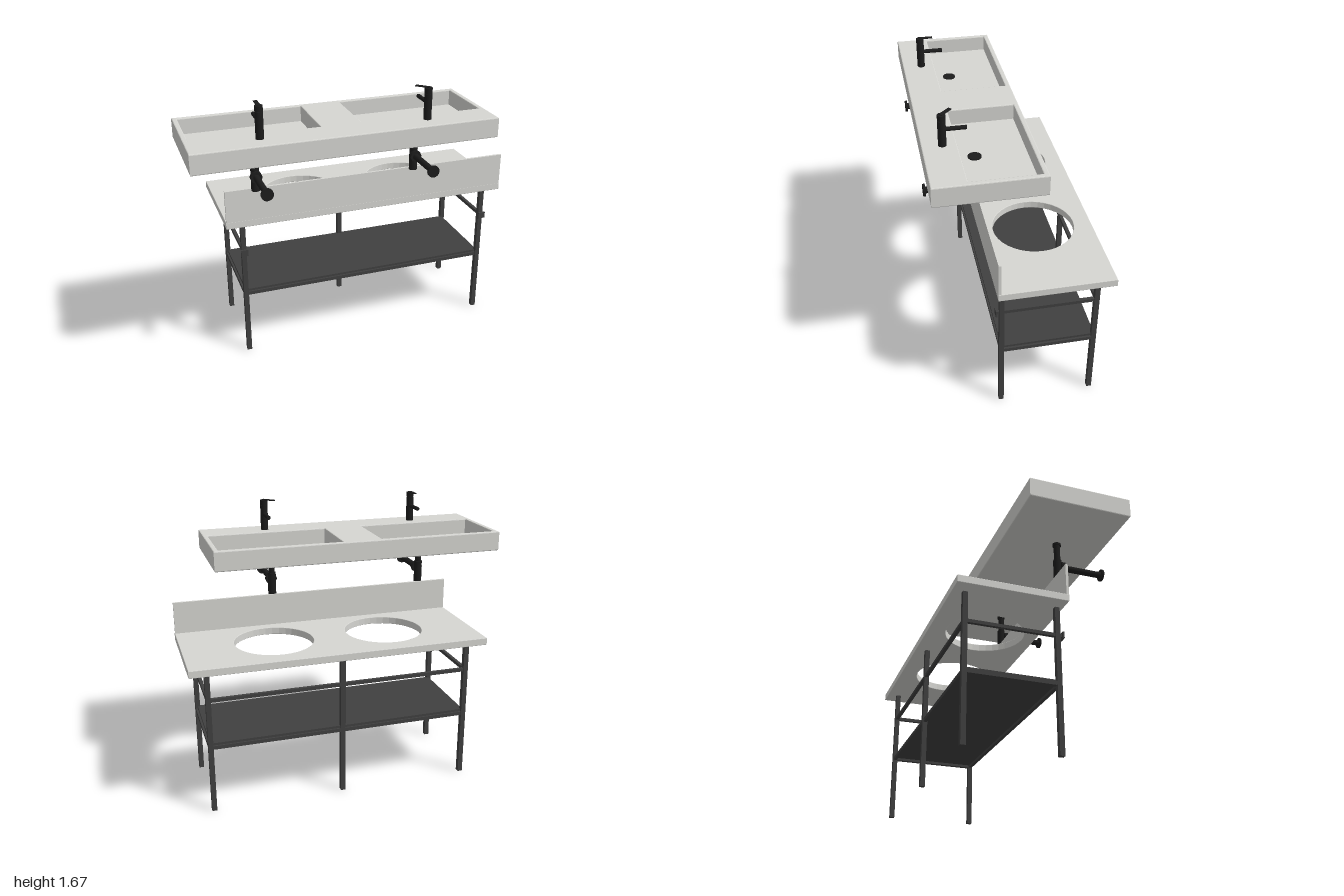
import * as THREE from 'three';

const mat = (name, color) => {
  const m = new THREE.MeshStandardMaterial({ color });
  m.name = name;
  return m;
};

export function createModel() {
  const model = new THREE.Group();
  model.name = 'doubleWashstand';
  const ceramic = mat('ceramic', 0xd6d6d2);
  const frameMetal = mat('frameMetal', 0x404040);
  const black = mat('blackFittings', 0x1c1c1c);

  const add = (parent, name, geometry, material) => {
    const mesh = new THREE.Mesh(geometry, material);
    mesh.name = name;
    parent.add(mesh);
    return mesh;
  };
  // Box from its minimum and maximum corners
  const box = (parent, name, material, [x0, y0, z0], [x1, y1, z1]) => {
    const g = new THREE.BoxGeometry(x1 - x0, y1 - y0, z1 - z0);
    g.translate((x0 + x1) / 2, (y0 + y1) / 2, (z0 + z1) / 2);
    return add(parent, name, g, material);
  };
  // Upright cylinder between two heights
  const post = (parent, name, r, x, z, y0, y1) =>
    add(parent, name, new THREE.CylinderGeometry(r, r, y1 - y0, 20)
      .translate(x, (y0 + y1) / 2, z), black);
  // Cylinder lying along z
  const pipe = (parent, name, r, x, y, z0, z1, sides = 20) =>
    add(parent, name, new THREE.CylinderGeometry(r, r, z1 - z0, sides)
      .rotateX(Math.PI / 2).translate(x, y, (z0 + z1) / 2), black);
  // Rectangle outline in plan, x and z limits
  const rect = (Type, x0, x1, z0, z1) => {
    const s = new Type();
    s.moveTo(x0, -z1);
    s.lineTo(x1, -z1);
    s.lineTo(x1, -z0);
    s.lineTo(x0, -z0);
    s.closePath();
    return s;
  };
  // Plan shape extruded upward with a small eased edge
  const slab = (name, shape, y0, y1, b) => {
    const g = new THREE.ExtrudeGeometry(shape, {
      depth: y1 - y0 - 2 * b, bevelThickness: b, bevelSize: b, bevelOffset: -b,
      bevelSegments: 2, curveSegments: 18,
    });
    g.rotateX(-Math.PI / 2).translate(0, y0 + b, 0);
    return add(model, name, g, ceramic);
  };

  // Double basin with two rectangular bowls
  const basin = rect(THREE.Shape, -1, 0.78, -0.14, 0.475);
  const bowls = [[-0.97, -0.235], [0.01, 0.75]];
  bowls.forEach(([x0, x1]) => {
    basin.holes.push(rect(THREE.Path, x0, x1, -0.11, 0.28));
    box(model, 'bowlFloor', ceramic, [x0 - 0.008, 1.36, -0.118], [x1 + 0.008, 1.385, 0.288]);
  });
  slab('basin', basin, 1.36, 1.48, 0.006);

  // Counter with two round openings, and its upstand
  const counter = rect(THREE.Shape, -0.78, 1, -0.478, 0.172);
  [-0.24, 0.45].forEach((x) => {
    const hole = new THREE.Path();
    hole.absarc(x, 0.14, 0.237, 0, Math.PI * 2, true);
    counter.holes.push(hole);
  });
  slab('counter', counter, 0.873, 0.917, 0.003);
  box(model, 'upstand', ceramic, [-0.778, 0.915, 0.157], [0.998, 1.112, 0.172]);

  // Tap, drain and trap for each bowl
  [[-0.6, 0], [0.38, Math.PI / 4]].forEach(([x, turn]) => {
    const tap = new THREE.Group();
    tap.name = 'tap';
    model.add(tap);
    post(tap, 'tapBody', 0.023, x, 0.36, 1.48, 1.632);
    post(tap, 'tapNeck', 0.02, x, 0.36, 1.63, 1.638);
    post(tap, 'tapHandle', 0.023, x, 0.36, 1.636, 1.666);
    pipe(tap, 'spout', 0.012, x, 1.578, 0.225, 0.36);
    const lever = add(tap, 'lever',
      new THREE.BoxGeometry(0.022, 0.005, 0.085).translate(0, 0, -0.035), black);
    lever.position.set(x, 1.668, 0.36);
    lever.rotation.y = turn;

    const waste = new THREE.Group();
    waste.name = 'waste';
    model.add(waste);
    post(waste, 'drain', 0.039, x, 0.185, 1.38, 1.391);
    post(waste, 'tailCollar', 0.025, x, 0.19, 1.345, 1.36);
    post(waste, 'tailPipe', 0.019, x, 0.19, 1.23, 1.36);
    post(waste, 'trapCup', 0.025, x, 0.19, 1.107, 1.245);
    pipe(waste, 'trapNut', 0.036, x, 1.2, 0.205, 0.23, 8);
    pipe(waste, 'outletPipe', 0.019, x, 1.2, 0.19, 0.47);
    pipe(waste, 'wallFlange', 0.036, x, 1.2, 0.467, 0.48);
  });

  // Legs: two at the wall, three on the open side
  const frame = new THREE.Group();
  frame.name = 'frame';
  model.add(frame);
  const xL = -0.68, xR = 0.895, zWall = 0.135, zOpen = -0.405, h = 0.0145;
  [[xL, zWall], [xR, zWall], [xL, zOpen], [0.105, zOpen], [xR, zOpen]].forEach(([x, z]) =>
    box(frame, 'leg', frameMetal, [x - h, 0, z - h], [x + h, 0.874, z + h]));

  // Upper rails and wall brackets
  box(frame, 'towelRail', frameMetal, [xL, 0.69, zOpen - 0.01], [xR, 0.71, zOpen + 0.01]);
  [xL, xR].forEach((x) => {
    box(frame, 'sideRail', frameMetal, [x - 0.01, 0.69, zOpen], [x + 0.01, 0.71, zWall]);
    box(frame, 'wallBracketStem', frameMetal, [x - 0.01, 0.69, zWall], [x + 0.01, 0.71, 0.166]);
    box(frame, 'wallBracket', frameMetal, [x - 0.022, 0.68, 0.16], [x + 0.022, 0.72, 0.17]);
    box(frame, 'shelfRail', frameMetal, [x - 0.012, 0.396, zOpen], [x + 0.012, 0.418, zWall]);
  });

  // Lower shelf
  box(frame, 'shelf', frameMetal, [xL, 0.412, zOpen], [xR, 0.432, zWall]);
  [zOpen, zWall].forEach((z) =>
    box(frame, 'shelfRail', frameMetal, [xL, 0.396, z - 0.01], [xR, 0.418, z + 0.01]));

  return model;
}
